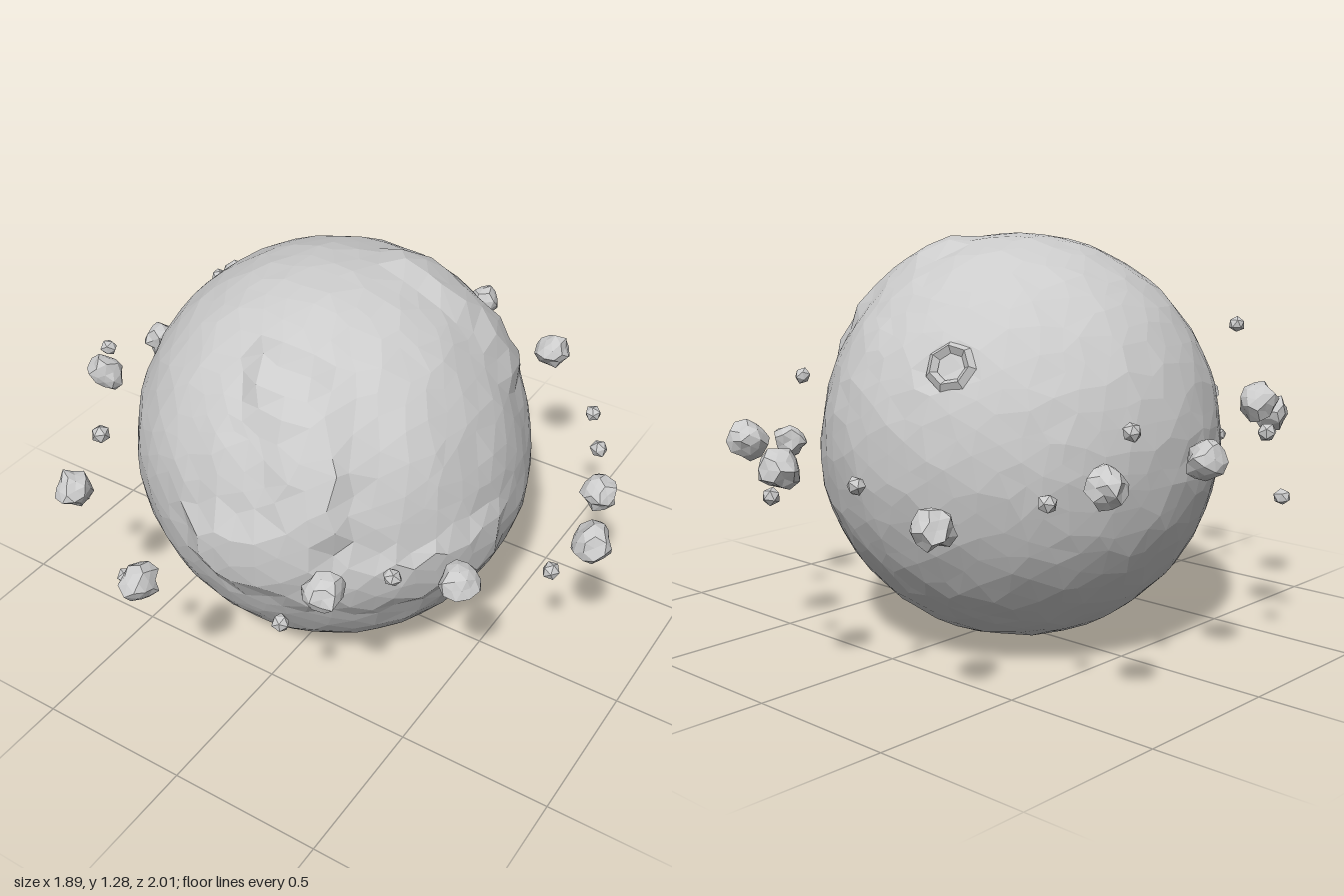
import * as THREE from 'three';

const material = new THREE.MeshStandardMaterial({ color: 0xcccccc, flatShading: true });
const CENTRE = new THREE.Vector3(-0.065, 0.64, 0.005);
const V = (p) => new THREE.Vector3(...p);

// repeatable value in -1..1 from a position, so shared corners move together
function hash(p, seed) {
  const q = (n) => Math.round(n * 1000);
  const s = Math.sin(q(p.x) * 0.1271 + q(p.y) * 0.3117 + q(p.z) * 0.0747 + seed * 17.3) * 43758.5453;
  return (s - Math.floor(s)) * 2 - 1;
}

// move every corner of a unit icosphere by a rule
function shapedSphere(detail, rule) {
  const geo = new THREE.IcosahedronGeometry(1, detail);
  const pos = geo.attributes.position;
  const p = new THREE.Vector3();
  for (let i = 0; i < pos.count; i++) {
    p.fromBufferAttribute(pos, i);
    rule(p);
    pos.setXYZ(i, p.x, p.y, p.z);
  }
  geo.computeVertexNormals();
  return geo;
}

// raised land: strokes across the surface, each with a half width
const LAND = [
  { width: 0.13, lift: 0.032, path: [[0.03, 1.13, 0.42], [0.17, 1.02, 0.47], [0.21, 0.82, 0.56], [0.13, 0.64, 0.63], [-0.07, 0.61, 0.67]] },
  { width: 0.13, lift: 0.025, path: [[0.1, 0.58, 0.63], [0.36, 0.54, 0.46], [0.54, 0.58, 0.16]] },
  { width: 0.13, lift: 0.025, path: [[0.1, 1.22, -0.18], [0.27, 1.13, -0.22], [0.42, 0.98, -0.27]] },
  { width: 0.08, lift: 0.02, path: [[0.32, 0.22, -0.2], [0.36, 0.25, -0.2]] },
].map((s) => ({ ...s, path: s.path.map((p) => V(p).sub(CENTRE).normalize()) }));
const BASIN = V([0.85, 0.35, -0.05]).normalize();
const FLAT = V([0.75, 0.3, -0.6]).normalize();
const CRATER = V([-0.34, 0.46, -0.82]).normalize();

function landHeight(d) {
  let height = 0;
  const near = new THREE.Vector3();
  for (const { width, lift, path } of LAND) {
    for (let i = 0; i + 1 < path.length; i++) {
      new THREE.Line3(path[i], path[i + 1]).closestPointToPoint(d, true, near);
      const dist = near.normalize().distanceTo(d);
      height = Math.max(height, lift * (1 - THREE.MathUtils.smoothstep(dist, width, width + 0.05)));
    }
  }
  return height;
}

function planetRule(p) {
  const seed = p.clone();
  p.x += 0.03 * hash(seed, 1);
  p.y += 0.03 * hash(seed, 2);
  p.z += 0.03 * hash(seed, 3);
  p.normalize();
  let r = 0.642 + 0.003 * hash(seed, 4) + landHeight(p);
  // shallow hollows on the side
  r -= 0.018 * (1 - THREE.MathUtils.smoothstep(p.distanceTo(BASIN), 0.25, 0.6));
  r -= 0.014 * (1 - THREE.MathUtils.smoothstep(p.distanceTo(FLAT), 0.2, 0.6));
  // blank spot for the crater
  if (p.distanceTo(CRATER) < 0.1) r -= 0.012;
  p.multiplyScalar(r);
}

// lumpy belt rock
function rockGeometry(size, detail, seed, rough) {
  return shapedSphere(detail, (p) => p.multiplyScalar(size * (1 + rough * hash(p, seed))));
}

// x, y, z of each belt rock
const LARGE = [
  [0.88, 0.68, 0.09], [0.64, 0.68, 0.45], [0.4, 0.78, 0.78], [-0.12, 0.68, 0.935],
  [-0.56, 0.68, 0.72], [-0.775, 0.79, 0.29], [-0.86, 0.68, -0.09], [-0.895, 0.69, -0.57],
  [-0.48, 0.55, -0.78], [-0.04, 0.67, -0.945], [0.33, 0.68, -0.77], [0.745, 0.55, -0.285],
];
const SMALL = [
  [-0.25, 0.64, -0.85], [0.16, 0.54, -0.82], [-0.71, 0.62, -0.59], [-0.83, 0.8, -0.39],
  [0.59, 0.64, -0.55], [0.75, 0.77, -0.22], [-0.92, 0.74, 0.12], [0.77, 0.53, 0.11],
  [-0.73, 0.45, 0.52], [-0.4, 0.96, 0.73], [-0.27, 0.55, 0.83], [0.26, 0.6, 0.79], [0.52, 0.77, 0.62],
];

export function createModel() {
  const model = new THREE.Group();
  model.name = 'planetWithRockBelt';

  const planet = new THREE.Mesh(shapedSphere(9, planetRule), material);
  planet.name = 'planet';
  planet.position.copy(CENTRE);
  model.add(planet);

  // low crater rim
  const rim = new THREE.Mesh(new THREE.TorusGeometry(0.06, 0.018, 4, 7), material);
  rim.name = 'craterRim';
  rim.position.copy(CENTRE).addScaledVector(CRATER, 0.636);
  rim.quaternion.setFromUnitVectors(new THREE.Vector3(0, 0, 1), CRATER);
  model.add(rim);

  // belt
  const belt = new THREE.Group();
  belt.name = 'rockBelt';
  const addRocks = (list, name, size, detail, rough) => list.forEach((p, i) => {
    const rock = new THREE.Mesh(rockGeometry(size, detail, i + 5, rough), material);
    rock.name = name + (i + 1);
    rock.position.set(...p);
    rock.rotation.set(i * 1.3, i * 2.1, i * 0.7);
    belt.add(rock);
  });
  addRocks(LARGE, 'largeRock', 0.057, 1, 0.2);
  addRocks(SMALL, 'smallRock', 0.028, 0, 0.1);
  model.add(belt);
  return model;
}
